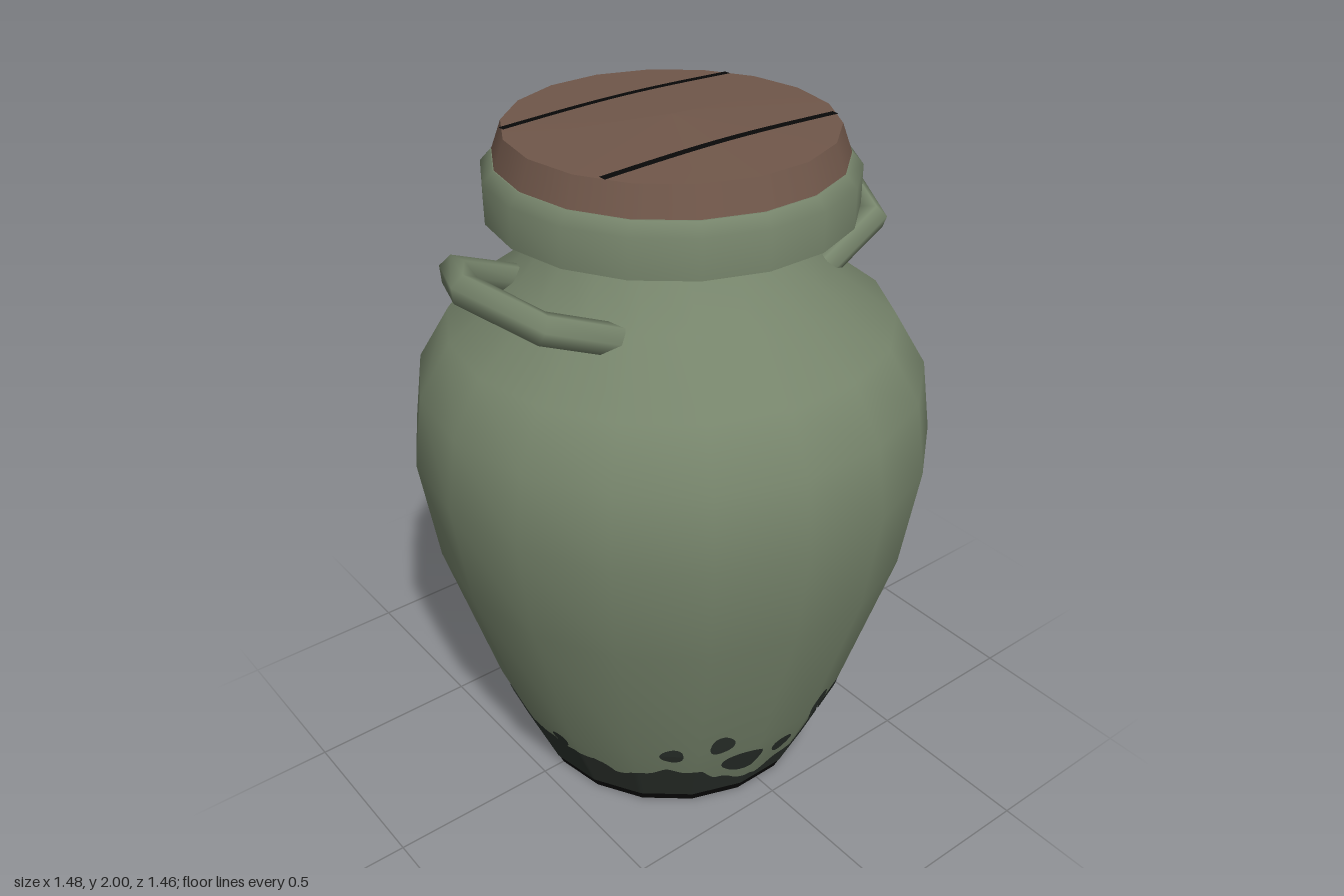
import * as THREE from 'three';

const SIDES = 18;
const mat = (name, color, side = THREE.FrontSide) => {
  const m = new THREE.MeshStandardMaterial({ color, side });
  m.name = name;
  return m;
};

// radius, height pairs of the jar wall
const BODY = [[0.443, 0.035], [0.55, 0.29], [0.695, 0.77], [0.74, 1.08], [0.71, 1.29],
  [0.62, 1.44], [0.43, 1.58], [0.33, 1.705]];

// stain edge (degrees, height) and spots (degrees, height, half width, half height); both repeat every half turn
const EDGE = [[0, 0.26], [12, 0.26], [22, 0.22], [30, 0.15], [40, 0.15], [50, 0.14], [60, 0.14], [72, 0.15],
  [82, 0.13], [95, 0.07], [105, 0.1], [113, 0.13], [118, 0.18], [130, 0.2], [140, 0.17], [148, 0.15],
  [155, 0.2], [165, 0.2], [174, 0.21], [180, 0.26]];
const SPOTS = [[-13, 0.23, 0.03, 0.03], [-52, 0.29, 0.035, 0.035], [-67, 0.325, 0.038, 0.042],
  [-76, 0.2, 0.065, 0.055], [88, 0.195, 0.036, 0.036], [76.5, 0.31, 0.045, 0.058], [57, 0.21, 0.065, 0.065],
  [44, 0.36, 0.035, 0.04], [31, 0.285, 0.055, 0.06]];

function lerpTable(table, x) {
  let i = 1;
  while (i < table.length - 1 && x > table[i][0]) i++;
  const [x0, y0] = table[i - 1], [x1, y1] = table[i];
  return y0 + (y1 - y0) * (x - x0) / (x1 - x0);
}

const WALL = BODY.map(([r, y]) => [y, r]);

// Point just outside the faceted jar wall
function onWall(angle, y, out = 0.004) {
  const step = (2 * Math.PI) / SIDES;
  const a = angle - Math.floor(angle / step) * step - step / 2;
  const r = (lerpTable(WALL, y) + out) * Math.cos(step / 2) / Math.cos(a);
  return [r * Math.cos(angle), y, r * Math.sin(angle)];
}

// Moves every vertex of a flat geometry by a rule
function bend(geometry, rule) {
  const p = geometry.attributes.position;
  for (let i = 0; i < p.count; i++) p.setXYZ(i, ...rule(p.getX(i), p.getY(i)));
  geometry.computeVertexNormals();
  return geometry;
}

export function createModel() {
  const group = new THREE.Group();
  const glaze = mat('green glaze', 0x76846b);
  const wood = mat('brown lid', 0x70574a);
  const stain = mat('dark stain', 0x2b312c, THREE.DoubleSide);
  const black = mat('black', 0x080808, THREE.DoubleSide);

  const add = (name, geometry, material) => {
    const mesh = new THREE.Mesh(geometry, material);
    mesh.name = name;
    group.add(mesh);
    return mesh;
  };
  const turned = (name, profile, material) => add(name,
    new THREE.LatheGeometry(profile.map(([r, y]) => new THREE.Vector2(r, y)), SIDES, Math.PI / 2), material);

  // Jar
  turned('body', BODY, glaze);
  turned('footBand', [[0.43, 0], [0.443, 0.035]], black);
  turned('base', [[0, 0], [0.43, 0]], stain);

  // Collar
  turned('collarUnderside', [[0.32, 1.7], [0.36, 1.705], [0.455, 1.742]], stain);
  turned('collarLowerEdge', [[0.455, 1.742], [0.5, 1.762]], black);
  turned('collar', [[0.5, 1.762], [0.5, 1.87], [0.47, 1.902]], glaze);
  turned('collarTop', [[0.47, 1.902], [0.38, 1.904]], glaze);

  // Lid
  turned('lidUnderside', [[0, 1.903], [0.468, 1.903]], wood);
  turned('lidSide', [[0.468, 1.903], [0.44, 1.98]], wood);
  turned('lidTop', [[0.44, 1.98], [0, 2]], wood);
  for (const z of [-0.22, 0.215]) {
    add('plankGap', bend(new THREE.PlaneGeometry(0.75, 0.022, 24, 1), (x, y) =>
      [x, 2.001 - 0.0455 * Math.hypot(x, z - y), z - y]), black);
  }

  // Handles
  const half = [[0.34, 1.55, 0.225], [0.57, 1.65, 0.195], [0.637, 1.69, 0]];
  const path = [...half, ...half.slice(0, 2).reverse().map(([x, y, z]) => [x, y, -z])];
  const curve = new THREE.CatmullRomCurve3(path.map((p) => new THREE.Vector3(...p)));
  const handleGeometry = new THREE.TubeGeometry(curve, 4, 0.044, 6);
  add('leftHandle', handleGeometry, glaze);
  add('rightHandle', handleGeometry, glaze).rotation.y = Math.PI;

  // Stain around the foot, with a wavy upper edge
  add('footStain', bend(new THREE.PlaneGeometry(1, 1, 360, 3), (x, y) => {
    const angle = -x * 2 * Math.PI;
    const deg = THREE.MathUtils.euclideanModulo(THREE.MathUtils.radToDeg(angle), 180);
    const top = lerpTable(EDGE, deg) + 0.006 * Math.sin(angle * 34);
    return onWall(angle, 0.035 + (top - 0.035) * (y + 0.5));
  }), stain);

  // Spots above the stain
  for (const turn of [0, 180]) {
    for (const [deg, height, w, h] of SPOTS) {
      const centre = THREE.MathUtils.degToRad(deg + turn);
      const r = lerpTable(WALL, height);
      add('stainSpot', bend(new THREE.RingGeometry(0.001, 1, 20, 5), (x, y) => {
        const wobble = 1 + 0.07 * Math.sin(3 * Math.atan2(y, x) + deg);
        return onWall(centre - x * wobble * w / r, height + y * wobble * h, 0.005);
      }), stain);
    }
  }
  return group;
}
